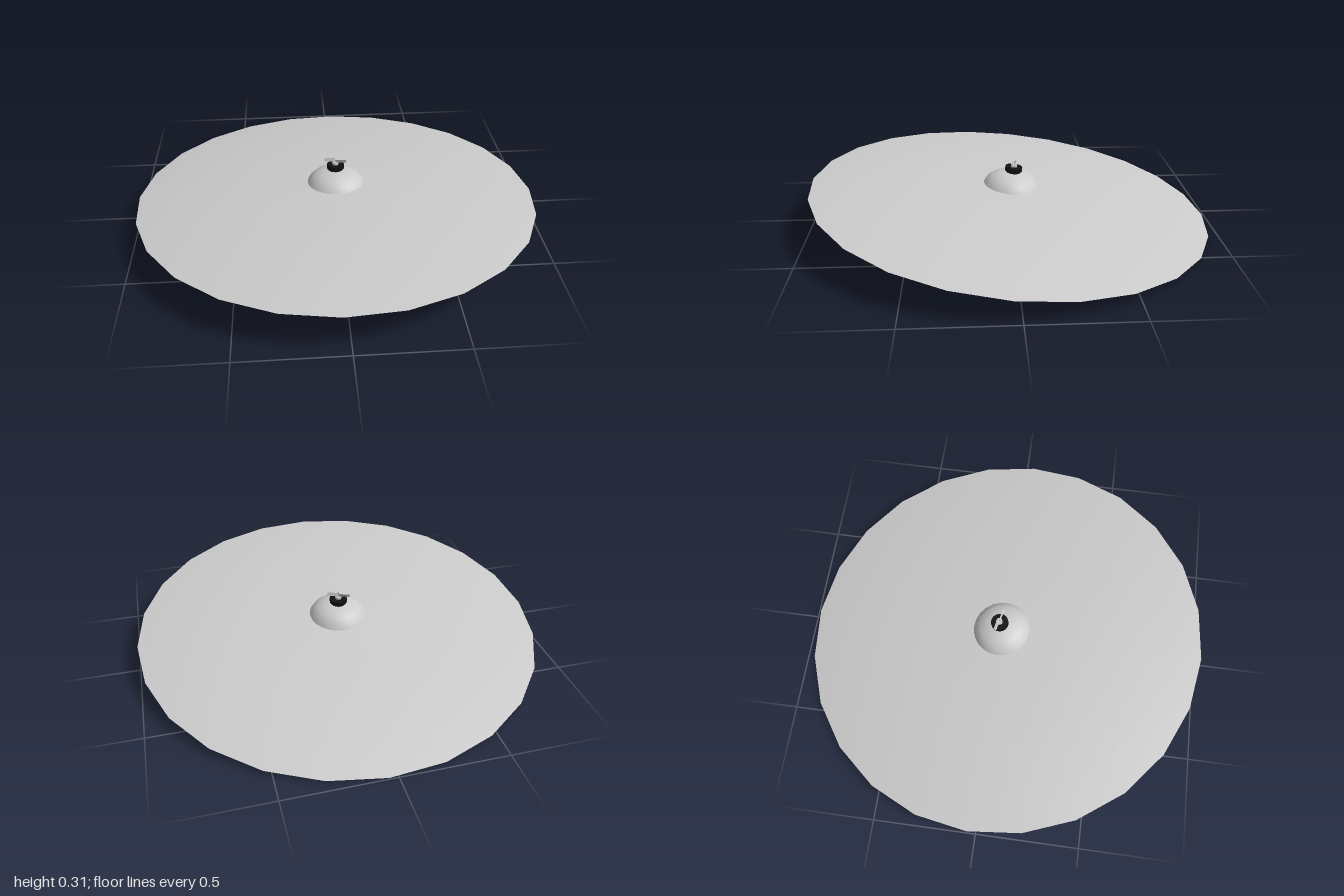
import * as THREE from 'three';

const grey = new THREE.MeshStandardMaterial({ color: 0xcccccc });
const shell = new THREE.MeshStandardMaterial({ color: 0xcccccc, side: THREE.DoubleSide });
const black = new THREE.MeshStandardMaterial({ color: 0x111111 });

export function createModel() {
  const model = new THREE.Group();
  model.name = 'cymbal';

  // everything shares one axis, tilted so the front rim is raised
  const tilted = new THREE.Group();
  tilted.name = 'tiltedAssembly';
  tilted.position.y = 0.107;
  tilted.rotation.x = -0.107;
  model.add(tilted);

  const add = (name, geometry, material, y = 0, parent = tilted) => {
    const mesh = new THREE.Mesh(geometry, material);
    mesh.name = name;
    mesh.position.y = y;
    parent.add(mesh);
    return mesh;
  };
  const lathe = (points, segments) =>
    new THREE.LatheGeometry(points.map(([r, y]) => new THREE.Vector2(r, y)), segments);
  const cylinder = (name, radius, y0, y1, material, sides = 16) =>
    add(name, new THREE.CylinderGeometry(radius, radius, y1 - y0, sides), material, (y0 + y1) / 2);

  // thin bowed plate and its raised bell, open underneath
  const bow = lathe([[1, 0], [0.83, 0.027], [0.6, 0.049], [0.4, 0.062], [0.14, 0.072]], 24);
  const bell = lathe([[0.142, 0.072], [0.128, 0.096], [0.104, 0.117], [0.07, 0.132], [0.035, 0.139], [0.008, 0.14]], 24);
  add('bow', bow, shell).rotation.y = -0.04;
  add('bell', bell, shell).rotation.y = -0.04;

  // rod through the bell, felt washers on top
  cylinder('rod', 0.009, 0.07, 0.18, grey, 12);
  cylinder('lowerWasher', 0.037, 0.132, 0.148, black, 20);
  cylinder('upperWasher', 0.043, 0.146, 0.166, black, 20);

  // wing nut
  cylinder('nutCollar', 0.016, 0.164, 0.178, grey);
  const wings = new THREE.Group();
  wings.name = 'wingNut';
  wings.position.y = 0.186;
  wings.rotation.y = -0.22;
  tilted.add(wings);
  for (const side of [-1, 1]) {
    const wing = add('wing', new THREE.BoxGeometry(0.054, 0.018, 0.008), grey, 0.002, wings);
    wing.position.x = side * 0.028;
    wing.position.z = side * 0.003;
    wing.rotation.set(side * 0.25, 0, 0.08);
  }
  return model;
}
